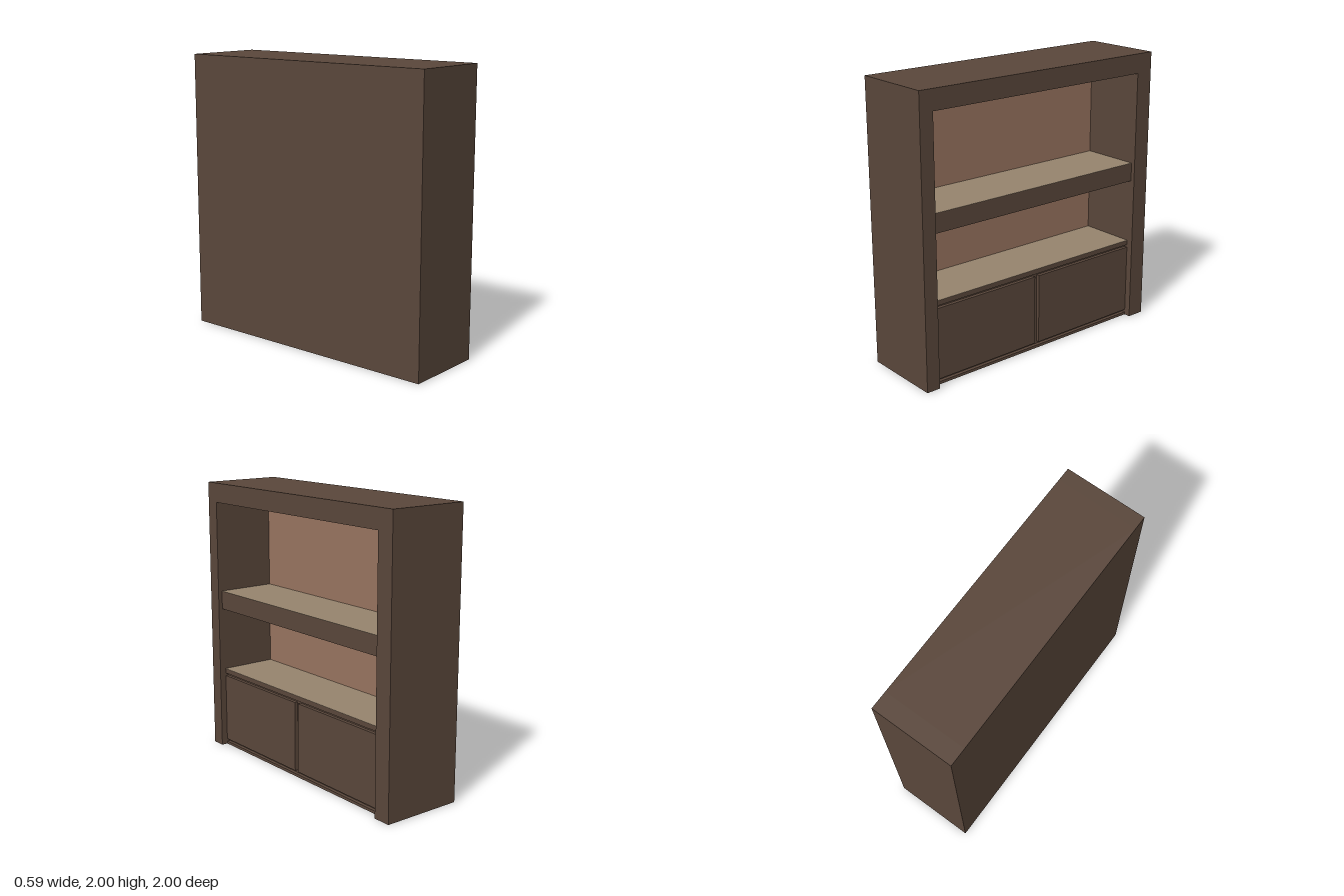
import * as THREE from 'three';

const DARK = 0x5a473b, PINK = 0x997560, TAN = 0x96846e;

export function createModel() {
  const group = new THREE.Group();
  group.name = 'bookcase';
  const materials = {};
  const mat = (color) => (materials[color] ??= new THREE.MeshStandardMaterial({ color }));

  // Box given by its extents along x, y and z
  function panel(name, [x0, x1], [y0, y1], [z0, z1], color = DARK) {
    const mesh = new THREE.Mesh(new THREE.BoxGeometry(x1 - x0, y1 - y0, z1 - z0), mat(color));
    mesh.position.set((x0 + x1) / 2, (y0 + y1) / 2, (z0 + z1) / 2);
    mesh.name = name;
    group.add(mesh);
  }

  const back = -0.295, front = 0.295, wall = -0.17; // wall: inner face of the back
  const inner = [-0.87, 0.9]; // opening between the sides
  const cabinetFront = 0.248, skin = 0.002;

  // Outer frame
  panel('leftSide', [back, front], [0, 2], [inner[1], 1]);
  panel('rightSide', [back, front], [0, 2], [-1, inner[0]]);
  panel('topPanel', [back, front], [1.86, 2], inner);
  panel('backPanel', [back, wall - skin], [0, 1.86], inner);
  panel('backLining', [wall - skin, wall], [0.6, 1.86], inner, PINK);

  // Shelf and cabinet top, each with a pale upper surface
  const boards = [
    ['shelf', 1.065, 1.2, 0.265],
    ['cabinetTop', 0.565, 0.6, cabinetFront],
  ];
  for (const [name, y0, y1, x1] of boards) {
    panel(name, [wall, x1], [y0, y1 - skin], inner);
    panel(name + 'Surface', [wall, x1], [y1 - skin, y1], inner, TAN);
  }

  // Cabinet base and body, set back behind the doors
  panel('cabinetBase', [wall, cabinetFront], [0, 0.02], inner);
  panel('cabinetBody', [wall, cabinetFront - 0.025], [0.02, 0.565], inner);

  // Doors with a gap above, below and between them
  for (const [name, span] of [['leftDoor', [0.035, inner[1]]], ['rightDoor', [inner[0], 0]]]) {
    panel(name, [cabinetFront - 0.025, cabinetFront], [0.04, 0.545], span);
  }

  return group;
}
